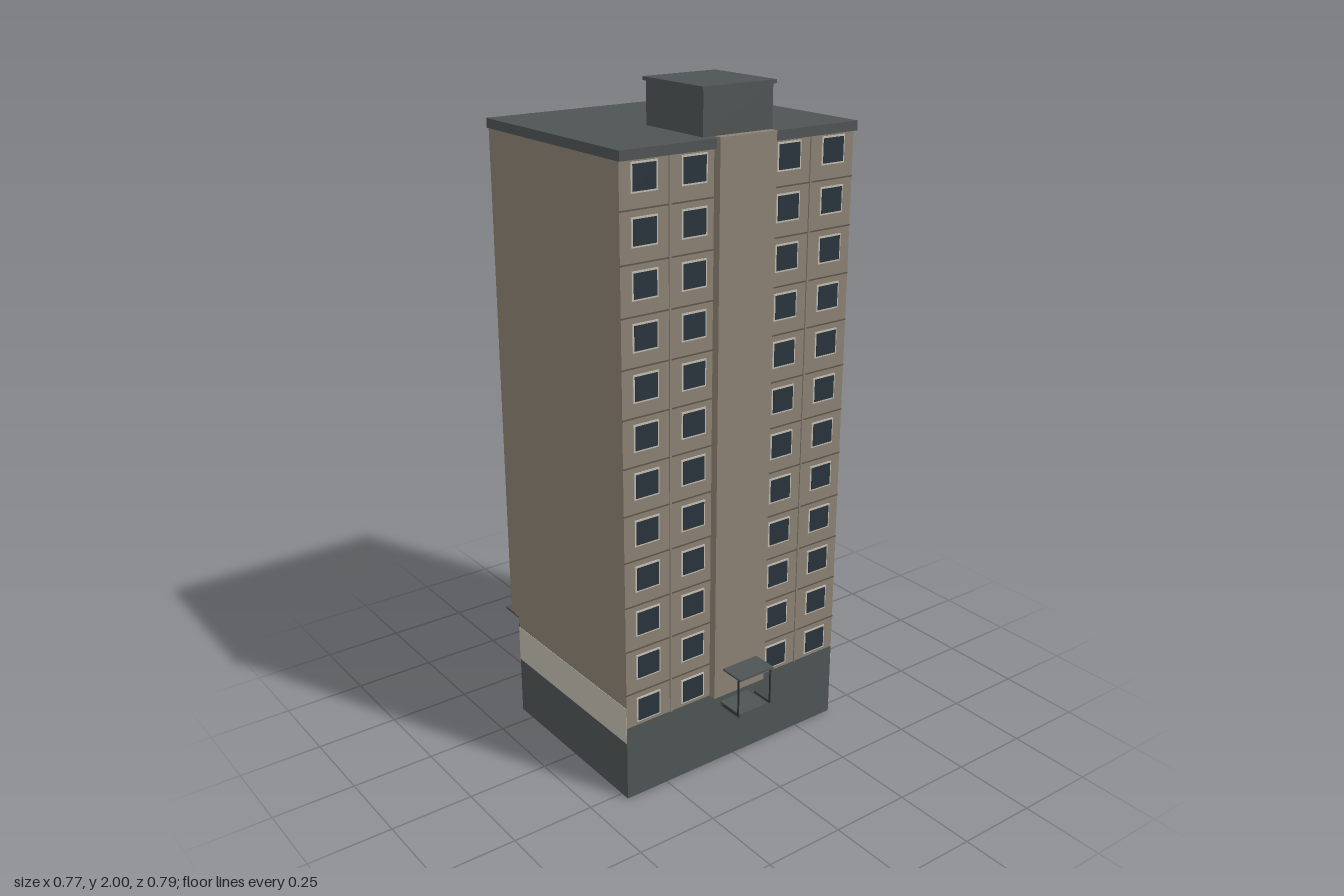
import * as THREE from 'three';

const mat = (name, color) => {
  const m = new THREE.MeshStandardMaterial({ color });
  m.name = name;
  return m;
};

export function createModel() {
  const group = new THREE.Group();
  const wall = mat('beige wall', 0x8a8173);
  const slate = mat('slate grey', 0x4e5354);
  const pale = mat('pale trim', 0xc0bbae);
  const glass = mat('dark glass', 0x29333c);
  const dark = mat('dark metal', 0x2b2e30);
  const seam = mat('panel seam', 0x5c574e);

  // Box given by its minimum and maximum on each axis
  const box = (name, m, x0, x1, y0, y1, z0, z1) => {
    const mesh = new THREE.Mesh(new THREE.BoxGeometry(x1 - x0, y1 - y0, z1 - z0), m);
    mesh.position.set((x0 + x1) / 2, (y0 + y1) / 2, (z0 + z1) / 2);
    mesh.name = name;
    group.add(mesh);
  };

  const floors = 12, pitch = 0.1377;
  const floorY = i => 0.285 + i * pitch; // window centre height

  // Framed window on either long side (dir is +1 or -1 along x)
  const windowOn = (dir, x, y, z, w, h) => {
    const plate = (name, m, out, grow) => {
      const a = x, b = x + dir * out;
      box(name, m, Math.min(a, b), Math.max(a, b),
        y - h / 2 - grow, y + h / 2 + grow, z - w / 2 - grow, z + w / 2 + grow);
    };
    plate('windowFrame', pale, 0.003, 0.005);
    plate('windowGlass', glass, 0.005, 0);
  };

  // Main masses
  box('base', slate, -0.31, 0.28, 0, 0.235, -0.39, 0.39);
  box('lowerStorey', wall, -0.31, 0.28, 0.235, 0.335, -0.39, 0.39);
  box('tower', wall, -0.33, 0.28, 0.335, 1.845, -0.39, 0.39);
  box('roofSlab', slate, -0.356, 0.29, 1.845, 1.872, -0.395, 0.395);
  box('roofHouse', slate, 0.012, 0.26, 1.872, 1.99, -0.115, 0.115);
  box('roofHouseCap', slate, 0.005, 0.267, 1.99, 2, -0.122, 0.122);
  box('stairShaft', wall, 0.28, 0.305, 0.235, 1.876, -0.094, 0.094);

  // Pale bands across the end walls
  box('frontBand', pale, -0.31, 0.28, 0.185, 0.3, 0.39, 0.391);
  box('backBand', pale, -0.31, 0.28, 0.185, 0.24, -0.391, -0.39);

  // Entrance side: windows, seams and ribs
  for (let i = 0; i < floors; i++) {
    for (const s of [-1, 1]) {
      for (const z of [0.158, 0.315]) windowOn(1, 0.28, floorY(i), s * z, 0.072, 0.068);
      if (i > 0) {
        const y = floorY(i) - 0.08;
        const z0 = s > 0 ? 0.094 : -0.39, z1 = s > 0 ? 0.39 : -0.094;
        box('floorSeam', seam, 0.28, 0.282, y - 0.002, y + 0.002, z0, z1);
      }
    }
  }
  for (const s of [-1, 1]) {
    box('panelRib', wall, 0.28, 0.284, 0.235, 1.845, s * 0.236 - 0.003, s * 0.236 + 0.003);
  }

  // Side porch: landing, thin canopy and posts
  box('porchLanding', slate, 0.28, 0.372, 0.185, 0.2, -0.052, 0.052);
  box('porchCanopy', slate, 0.28, 0.385, 0.32, 0.326, -0.063, 0.063);
  for (const s of [-1, 1]) {
    box('porchPost', dark, 0.372, 0.376, 0.2, 0.32, s * 0.06 - 0.002, s * 0.06 + 0.002);
    box('porchBracket', dark, 0.305, 0.376, 0.2, 0.204, s * 0.06 - 0.002, s * 0.06 + 0.002);
  }

  // Gallery side: pilasters
  for (const [z0, z1] of [[-0.39, -0.36], [-0.13, -0.085], [0.18, 0.225], [0.36, 0.39]]) {
    box('pilaster', wall, -0.354, -0.33, 0.335, 1.845, z0, z1);
  }

  // Gallery side: windows, seams and balconies
  for (let i = 1; i < floors; i++) {
    const y = floorY(i);
    windowOn(-1, -0.33, y, 0.05, 0.21, 0.075);
    for (const z of [-0.31, -0.18, 0.29]) windowOn(-1, -0.33, y, z, 0.072, 0.068);
    box('floorSeam', seam, -0.332, -0.33, y - 0.071, y - 0.067, -0.36, 0.36);
    if (i % 3 === 1) {
      for (const [z0, z1] of [[-0.36, -0.25], [0.24, 0.36]]) {
        box('balcony', wall, -0.354, -0.33, y - 0.075, y - 0.03, z0, z1);
      }
    }
  }

  // Gallery side: street canopy over recessed glazing
  box('streetCanopy', slate, -0.387, -0.31, 0.33, 0.338, -0.39, 0.39);
  box('streetGlazing', glass, -0.314, -0.31, 0.2, 0.33, -0.385, 0.385);
  for (let k = 0; k <= 8; k++) {
    const z = -0.383 + k * 0.09575;
    box('glazingBar', dark, -0.318, -0.31, 0.2, 0.33, z - 0.003, z + 0.003);
  }
  return group;
}
